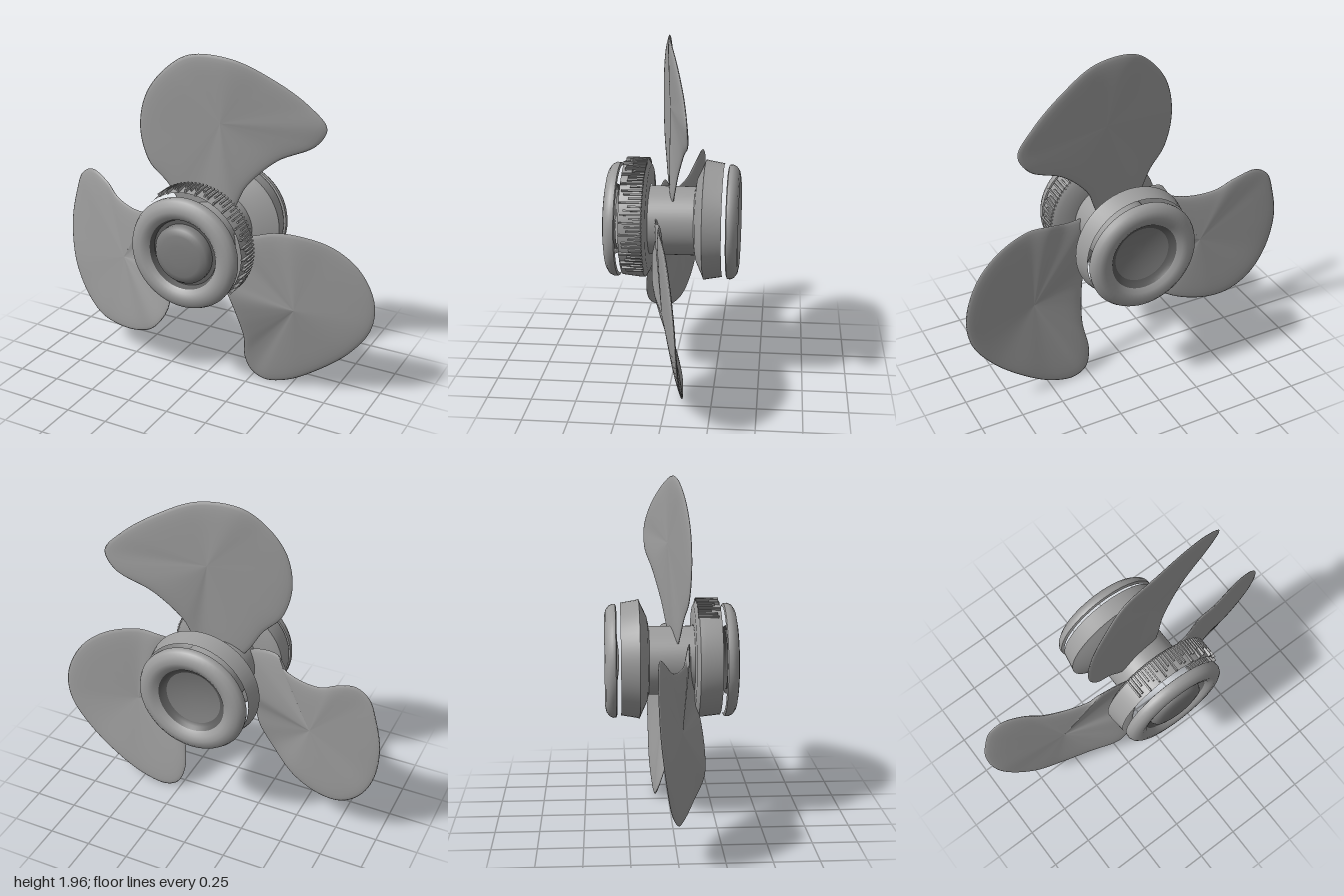
import * as THREE from 'three';
import { toCreasedNormals } from 'three/addons/utils/BufferGeometryUtils.js';

const grey = new THREE.MeshStandardMaterial({ color: 0x9c9c9c });
grey.name = 'castGrey';
const capGrey = new THREE.MeshStandardMaterial({ color: 0x7c7c7c });
capGrey.name = 'capGrey';
const darkGrey = new THREE.MeshStandardMaterial({ color: 0x5c5c5c });
darkGrey.name = 'grooveGrey';

function addMesh(parent, name, geometry, material) {
  const mesh = new THREE.Mesh(geometry, material);
  mesh.name = name;
  parent.add(mesh);
  return mesh;
}

// Turned part along z; profile is a list of [radius, z] with z rising on the outside
function turned(profile, crease = 0.6) {
  const points = profile.map(([r, z]) => new THREE.Vector2(r, z));
  const geometry = new THREE.LatheGeometry(points, 56).rotateX(Math.PI / 2);
  return toCreasedNormals(geometry, crease);
}

// Lens-shaped blade: loops shrink from the outline to a centre, front and back
function bladeGeometry(outline, centre) {
  const curve = new THREE.CatmullRomCurve3(outline.map(p => new THREE.Vector3(...p)), true);
  const c = new THREE.Vector3(...centre);
  const N = 120, K = 10, positions = [], index = [];
  const rim = Array.from({ length: N }, (_, i) => curve.getPoint(i / N));
  for (let k = 0; k <= 2 * K; k++) {
    const s = Math.sin(Math.PI * k / (2 * K));
    const h = 0.014 * Math.sqrt(Math.max(0, 1 - s ** 8)) * (k <= K ? 1 : -1);
    for (let i = 0; i < N; i++) {
      const p = c.clone().lerp(rim[i], s);
      positions.push(p.x, p.y, p.z + h);
      if (k < 2 * K) {
        const a = k * N + i, b = k * N + (i + 1) % N;
        index.push(a, b, b + N, a, b + N, a + N);
      }
    }
  }
  const geometry = new THREE.BufferGeometry();
  geometry.setAttribute('position', new THREE.Float32BufferAttribute(positions, 3));
  geometry.setIndex(index);
  geometry.computeVertexNormals();
  return geometry;
}

// Blade outlines, clockwise from the front, as [x, y, z]
const blades = {
  topBlade: {
    centre: [0.08, 1.58, 0.0],
    outline: [
      [-0.1, 1.02, 0.03], [-0.23, 1.2, 0.06], [-0.33, 1.31, 0.08], [-0.38, 1.5, 0.09],
      [-0.345, 1.7, 0.085], [-0.24, 1.85, 0.065], [-0.1, 1.945, 0.035], [0.14, 1.945, 0.005],
      [0.36, 1.85, -0.05], [0.55, 1.72, -0.1], [0.65, 1.6, -0.125], [0.59, 1.49, -0.125],
      [0.38, 1.38, -0.085], [0.22, 1.22, -0.04], [0.12, 1.03, 0.0],
    ],
  },
  leftBlade: {
    centre: [0.55, 0.55, 0.0],
    outline: [
      [0.13, 0.96, 0.09], [0.3, 0.98, 0.07], [0.42, 1.01, 0.04], [0.55, 1.02, 0.03],
      [0.75, 0.97, -0.02], [0.9, 0.85, -0.06], [0.985, 0.66, -0.09], [0.97, 0.48, -0.1],
      [0.85, 0.3, -0.1], [0.65, 0.13, -0.1], [0.48, 0.03, -0.09], [0.34, 0.0, -0.08],
      [0.26, 0.04, -0.07], [0.225, 0.14, -0.04], [0.24, 0.3, 0.01], [0.22, 0.45, 0.06],
      [0.18, 0.6, 0.1], [0.1, 0.75, 0.11],
    ],
  },
  rightBlade: {
    centre: [-0.55, 0.65, 0.02],
    outline: [
      [-0.08, 0.75, 0.13], [-0.14, 0.6, 0.16], [-0.17, 0.45, 0.18], [-0.26, 0.32, 0.175],
      [-0.42, 0.22, 0.1], [-0.6, 0.185, 0.04], [-0.75, 0.21, 0.0], [-0.88, 0.32, -0.04],
      [-0.97, 0.5, -0.07], [-1.0, 0.75, -0.1], [-0.965, 0.95, -0.11], [-0.92, 1.07, -0.11],
      [-0.84, 1.115, -0.1], [-0.72, 1.07, -0.07], [-0.62, 1.0, -0.03], [-0.48, 0.97, 0.02],
      [-0.36, 0.99, 0.06], [-0.31, 1.06, 0.08], [-0.12, 1.02, 0.1],
    ],
  },
};

export function createModel() {
  const model = new THREE.Group();
  model.name = 'propeller';

  // Hub, turned about its own axis
  const hub = new THREE.Group();
  hub.name = 'hub';
  hub.position.set(0.022, 0.915, 0);
  model.add(hub);

  addMesh(hub, 'barrel', turned([[0.195, -0.2], [0.195, 0.2]]), grey);

  const frontCollar = addMesh(hub, 'frontCollar', turned([
    [0.19, 0.13], [0.3, 0.13], [0.335, 0.15], [0.335, 0.18], [0.325, 0.275],
  ]), grey);
  frontCollar.position.y = 0.012;

  const rearCollar = addMesh(hub, 'rearCollar', turned([
    [0.32, -0.285], [0.335, -0.2], [0.34, -0.18], [0.32, -0.172], [0.24, -0.135], [0.19, -0.125],
  ]), grey);
  rearCollar.position.y = 0.01;

  // Grip ridges over the upper and left part of the front collar
  const ridges = new THREE.Group();
  ridges.name = 'gripRidges';
  frontCollar.add(ridges);
  for (let i = 0; i < 44; i++) {
    const angle = -0.75 + i * 0.068;
    const length = 0.1 + 0.03 * Math.sin(i * 2.4);
    const ridge = addMesh(ridges, 'gripRidge', new THREE.BoxGeometry(0.022, 0.009, length), grey);
    ridge.position.set(Math.cos(angle) * 0.332, Math.sin(angle) * 0.332, 0.145 + length / 2);
    ridge.rotation.z = angle;
  }

  // Rounded end rings, set off from the collars by a narrow gap
  addMesh(hub, 'frontRing', turned([
    [0.305, 0.297], [0.322, 0.302], [0.324, 0.325], [0.314, 0.347], [0.29, 0.363], [0.255, 0.37],
    [0.225, 0.362], [0.205, 0.342],
  ], 1), grey);
  addMesh(hub, 'rearRing', turned([
    [0.2, -0.345], [0.225, -0.365], [0.255, -0.375], [0.29, -0.368], [0.314, -0.35],
    [0.324, -0.33], [0.322, -0.312], [0.305, -0.306],
  ], 1), grey);

  // Front groove and domed cap
  addMesh(hub, 'frontGroove', turned([[0.205, 0.342], [0.192, 0.31], [0.16, 0.31]]), darkGrey);
  addMesh(hub, 'frontCap', turned([
    [0.17, 0.31], [0.17, 0.34], [0.155, 0.36], [0.12, 0.37], [0.06, 0.374], [0, 0.375],
  ], 1), capGrey);

  // Rear hollow with a dished floor
  addMesh(hub, 'rearGroove', turned([[0.165, -0.315], [0.185, -0.325], [0.2, -0.345]], 1), darkGrey);
  addMesh(hub, 'rearDish', turned([
    [0, -0.292], [0.06, -0.295], [0.12, -0.303], [0.165, -0.315],
  ], 1), capGrey);

  // Three pitched blades
  for (const [name, { outline, centre }] of Object.entries(blades)) {
    addMesh(model, name, bladeGeometry(outline, centre), grey);
  }
  return model;
}
